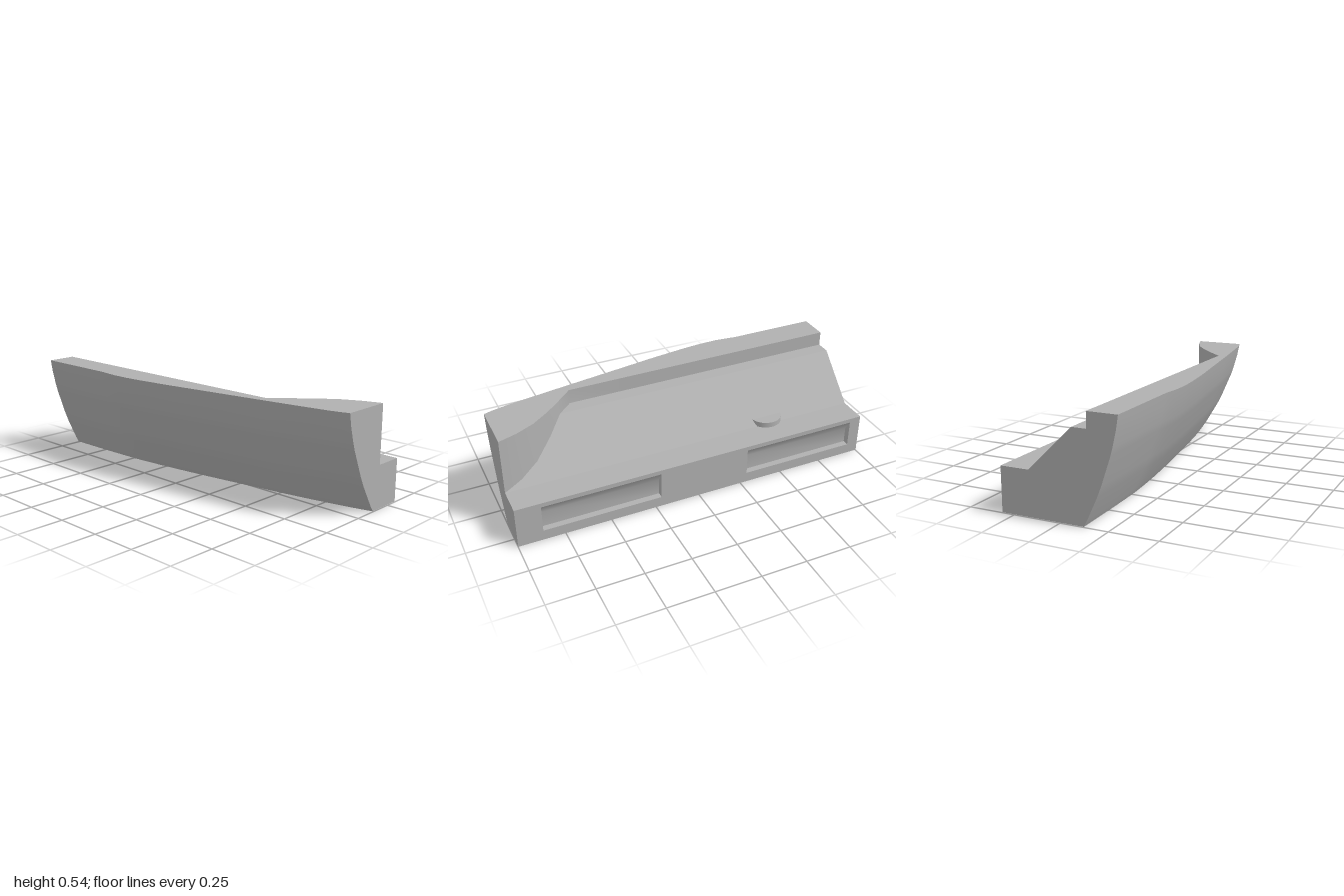
import * as THREE from 'three';

const TOP = 0.54, BASE = 0.003, LEDGE = 0.46, SHELF = 0.232;
const LEDGE_X = -0.07, SLOPE_X = 0.163, SIDE_X = 0.316, INNER_X = -0.147;

// stations along the length: z, curved side at top, curved side at bottom, inner wall
const stations = [
  [-1, -0.305, -0.125, INNER_X], [-0.75, -0.305, -0.122, INNER_X],
  [-0.52, -0.305, -0.115, INNER_X], [-0.46, -0.312, -0.112, INNER_X],
  [-0.4, -0.317, -0.107, INNER_X], [-0.3, -0.315, -0.097, INNER_X],
  [-0.2, -0.306, -0.086, INNER_X], [0, -0.28, -0.06, INNER_X],
  [0.2, -0.248, -0.03, INNER_X], [0.54, -0.195, 0.024, INNER_X],
  [0.62, -0.182, 0.038, LEDGE_X], [0.7, -0.169, 0.053, 0.003],
  [0.8, -0.152, 0.074, 0.08], [0.9, -0.134, 0.096, 0.13],
  [0.96, -0.119, 0.111, 0.15], [1, -0.106, 0.122, SLOPE_X],
];
// how far the curved side has swung out at each height
const bulge = [[BASE, 0], [0.035, 0.095], [0.15, 0.39], [0.21, 0.52],
  [0.35, 0.78], [0.39, 0.84], [0.47, 0.94], [TOP, 1]];

const slopeY = (x) => x <= LEDGE_X ? LEDGE
  : LEDGE - (x - LEDGE_X) * (LEDGE - SHELF) / (SLOPE_X - LEDGE_X);

// surface through matching rows of [x, y] points, one row per z
function loft(zs, rows) {
  const n = rows[0].length, pos = [], idx = [];
  rows.forEach((row, k) => row.forEach(([x, y]) => pos.push(x, y, zs[k])));
  for (let k = 0; k < rows.length - 1; k++) {
    for (let i = 0; i < n - 1; i++) {
      const a = k * n + i, b = a + 1, c = a + n, d = c + 1;
      idx.push(a, c, b, b, c, d);
    }
  }
  const g = new THREE.BufferGeometry();
  g.setAttribute('position', new THREE.Float32BufferAttribute(pos, 3));
  g.setIndex(idx);
  g.computeVertexNormals();
  return g;
}

const polygon = (pts) => new THREE.Shape(pts.map(([x, y]) => new THREE.Vector2(x, y)));

export function createModel() {
  const model = new THREE.Group();
  const grey = new THREE.MeshStandardMaterial({ color: 0xb0b0b0, side: THREE.DoubleSide });
  grey.name = 'grey';
  const add = (name, geometry) => {
    const mesh = new THREE.Mesh(geometry, grey);
    mesh.name = name;
    model.add(mesh);
    return mesh;
  };

  const zs = stations.map((s) => s[0]);
  const hull = ([, t, b]) => bulge.map(([y, f]) => [b + (t - b) * f, y]);
  const across = (name, row) => add(name, loft(zs, stations.map(row)));

  // long surfaces, each following the stations
  across('curvedSide', hull);
  across('topFace', ([, t, , w]) => [[t, TOP], [w, TOP]]);
  across('innerWall', ([, , , w]) => [[w, TOP], [w, slopeY(w)]]);
  across('ledge', ([, , , w]) => [[w, slopeY(w)], [Math.max(w, LEDGE_X), slopeY(w)]]);
  across('slope', ([, , , w]) => [[Math.max(w, LEDGE_X), slopeY(w)], [SLOPE_X, SHELF]]);
  across('shelf', () => [[SLOPE_X, SHELF], [SIDE_X, SHELF]]);
  across('underside', ([, , b]) => [[SIDE_X, BASE], [b, BASE]]);

  // flat end faces
  for (const [name, s] of [['backEnd', stations[0]], ['frontEnd', stations.at(-1)]]) {
    const w = s[3], pts = hull(s);
    pts.push([w, TOP]);
    if (w < LEDGE_X) pts.push([w, LEDGE], [LEDGE_X, LEDGE]);
    pts.push([SLOPE_X, SHELF], [SIDE_X, SHELF], [SIDE_X, BASE]);
    add(name, new THREE.ShapeGeometry(polygon(pts))).position.z = s[0];
  }

  // straight side with two recessed grips
  const side = polygon([[-1, BASE], [1, BASE], [1, SHELF], [-1, SHELF]]);
  const low = 0.06, high = 0.208, deep = SIDE_X - 0.035;
  for (const [z0, z1] of [[0.22, 0.865], [-0.935, -0.285]]) {
    side.holes.push(polygon([[-z1, low], [-z1, high], [-z0, high], [-z0, low]]));
    const profile = [[SIDE_X, high], [deep, 0.15], [deep, low], [SIDE_X, low]];
    const back = profile.slice(0, 3), floor = profile.slice(2);
    add('gripBack', loft([z0, z1], [back, back]));
    add('gripFloor', loft([z0, z1], [floor, floor]));
    for (const z of [z0, z1]) {
      add('gripEnd', new THREE.ShapeGeometry(polygon(profile))).position.z = z;
    }
  }
  add('straightSide', new THREE.ShapeGeometry(side).rotateY(Math.PI / 2)).position.x = SIDE_X;

  // round pin passing through the body
  add('pin', new THREE.CylinderGeometry(0.091, 0.091, 0.262, 48)).position.set(0.11, 0.131, -0.5);

  return model;
}
